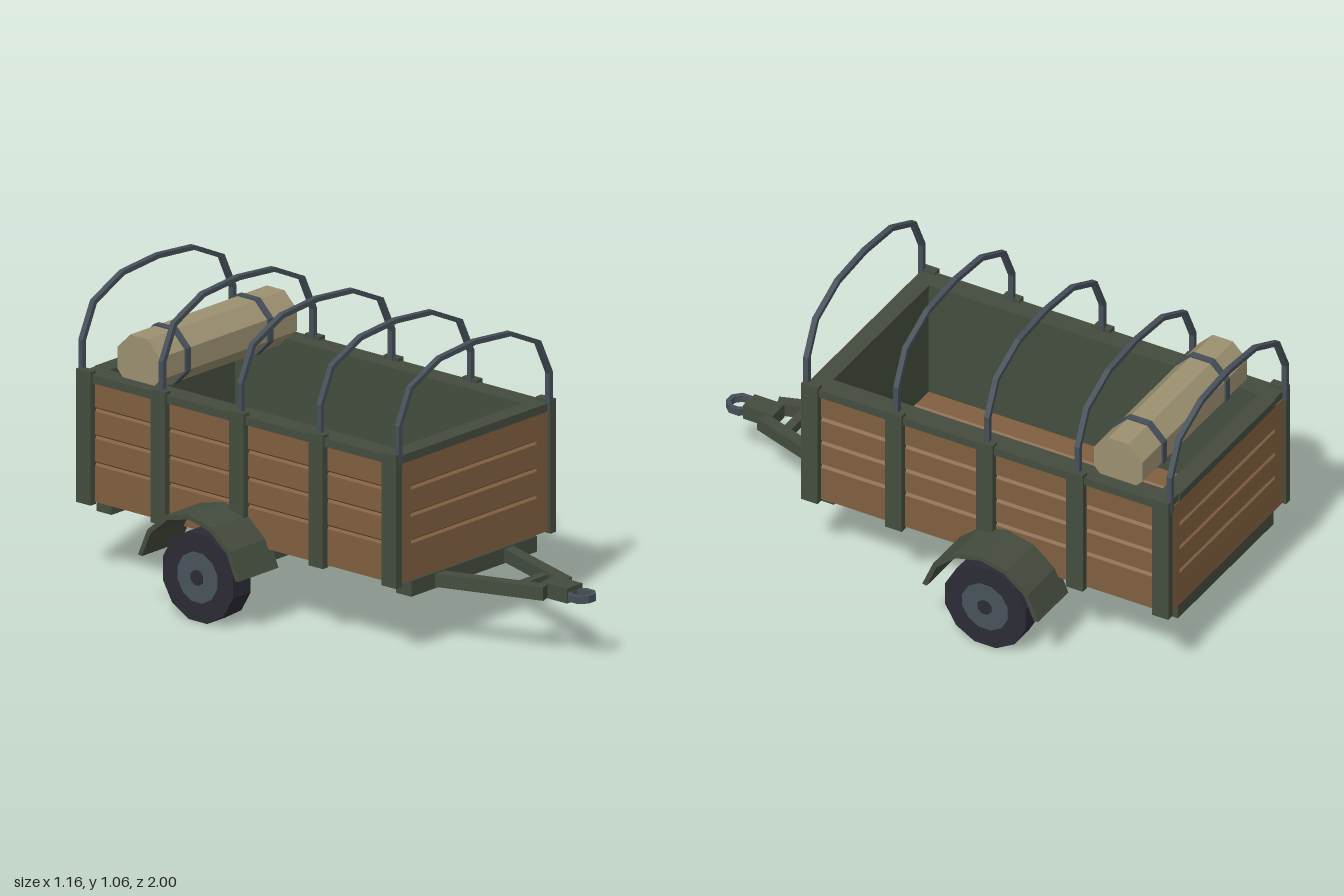
import * as THREE from 'three';

const mat = (name, color) => {
  const m = new THREE.MeshStandardMaterial({ color });
  m.name = name;
  return m;
};

export function createModel() {
  const green = mat('olive paint', 0x444c3e);
  const wood = mat('brown wood', 0x805f40);
  const canvas = mat('tan canvas', 0x9c9070);
  const steel = mat('blue grey steel', 0x454f58);
  const rubber = mat('dark rubber', 0x2c2b35);
  const hubGrey = mat('hub grey', 0x49535b);

  const model = new THREE.Group();
  model.name = 'cargoTrailer';

  const add = (name, geo, material, x = 0, y = 0, z = 0) => {
    const mesh = new THREE.Mesh(geo, material);
    mesh.name = name;
    mesh.position.set(x, y, z);
    model.add(mesh);
    return mesh;
  };
  // Box given by its minimum and maximum on each axis
  const box = (name, material, x0, x1, y0, y1, z0, z1) =>
    add(name, new THREE.BoxGeometry(x1 - x0, y1 - y0, z1 - z0), material,
      (x0 + x1) / 2, (y0 + y1) / 2, (z0 + z1) / 2);
  const faceted = (geo) => {
    const g = geo.toNonIndexed();
    g.computeVertexNormals();
    return g;
  };
  // Faceted cylinder lying along x, with flats at top and bottom
  const roll = (name, material, apothem, width, sides, x, y, z) => {
    const r = apothem / Math.cos(Math.PI / sides);
    const g = new THREE.CylinderGeometry(r, r, width, sides);
    g.rotateY(Math.PI / sides).rotateZ(Math.PI / 2);
    return add(name, faceted(g), material, x, y, z);
  };
  const polygon = (pts) => new THREE.Shape(pts.map(([x, y]) => new THREE.Vector2(x, y)));
  const slab = (shape, depth) =>
    new THREE.ExtrudeGeometry(shape, { depth, bevelEnabled: false }).translate(0, 0, -depth / 2);

  // Board facing +x with V grooves at the given heights
  const board = (v0, v1, thick, length, grooves) => {
    const pts = [[-thick, v0], [0, v0]];
    for (const g of grooves) pts.push([0, g - 0.008], [-0.01, g], [0, g + 0.008]);
    pts.push([0, v1], [-thick, v1]);
    return slab(polygon(pts), length);
  };

  const front = 0.455, back = -0.985, mid = (front + back) / 2;
  const grooves = [0.41, 0.508, 0.607];

  // Floor planks
  const floor = add('floor', board(-0.385, 0.385, 0.015, 1.43, [-0.24, -0.14, 0.14, 0.24]), wood, 0, 0.282, mid);
  floor.rotation.z = Math.PI / 2;

  // Side walls: grooved boards, inner lining and top rail
  for (const s of [-1, 1]) {
    const side = add('sideBoards', board(0.27, 0.705, 0.012, 1.44, grooves), wood, s * 0.396, 0, mid);
    side.rotation.y = s > 0 ? 0 : Math.PI;
    const lining = box('sideLining', green, 0.335, 0.384, 0.283, 0.705, back + 0.012, front - 0.012);
    lining.position.x *= s;
    const rail = box('sideTopRail', green, 0.33, 0.41, 0.705, 0.735, back, front + 0.005);
    rail.position.x *= s;
  }

  // End walls: grooves stop short of the corners
  for (const [s, z] of [[1, front + 0.003], [-1, back - 0.003]]) {
    const end = add('endBoards', board(0.27, 0.705, 0.013, 0.66, grooves), wood, 0, 0, z);
    end.rotation.y = -s * Math.PI / 2;
    for (const x of [-0.3585, 0.3585])
      add('endBoardMargin', new THREE.BoxGeometry(0.057, 0.435, 0.013), wood, x, 0.4875, z - s * 0.0065);
    add('endLining', new THREE.BoxGeometry(0.67, 0.422, 0.048), green, 0, 0.494, z - s * 0.037);
    add('endTopRail', new THREE.BoxGeometry(0.66, 0.03, 0.068), green, 0, 0.72, z - s * 0.032);
  }

  // Posts and canopy bows
  const outer = [[0.404, 0.7], [0.404, 0.848], [0.342, 0.976], [0.188, 1.047], [0, 1.063]];
  const inner = [[0, 1.046], [0.183, 1.031], [0.329, 0.964], [0.386, 0.844], [0.386, 0.7]];
  const flip = (pts) => pts.slice().reverse().filter(([x]) => x > 0).map(([x, y]) => [-x, y]);
  const bowGeo = slab(polygon([...outer, ...flip(outer), ...flip(inner), ...inner]), 0.02);
  const postZ = [0.436, 0.1, -0.262, -0.622, -0.963];
  const bowZ = [0.459, 0.1, -0.262, -0.622, -0.99];
  postZ.forEach((z, i) => {
    for (const s of [-1, 1])
      add('post', new THREE.BoxGeometry(0.03, 0.485, 0.066), green, s * 0.405, 0.5045, z);
    add('canopyBow', bowGeo, steel, 0, 0, bowZ[i]);
  });

  // Chassis frame
  for (const s of [-1, 1]) {
    box('chassisRail', green, s * 0.21 - 0.025, s * 0.21 + 0.025, 0.22, 0.267, -0.97, 0.45);
    box('axleHanger', green, s * 0.21 - 0.02, s * 0.21 + 0.02, 0.165, 0.225, -0.365, -0.305);
  }
  for (const z of [0.425, -0.262, -0.947])
    box('crossMember', green, -0.33, 0.33, 0.21, 0.267, z - 0.035, z + 0.035);
  box('axle', green, -0.45, 0.45, 0.135, 0.18, -0.358, -0.312);

  // Wheels and mudguards
  const fender = new THREE.Shape();
  const arc = (r, i) => {
    const a = THREE.MathUtils.degToRad(10 + (160 * i) / 6);
    return [Math.cos(a) * r, Math.sin(a) * r];
  };
  for (let i = 0; i <= 6; i++) i ? fender.lineTo(...arc(0.235, i)) : fender.moveTo(...arc(0.235, i));
  for (let i = 6; i >= 0; i--) fender.lineTo(...arc(0.217, i));
  const fenderGeo = slab(fender, 0.207).rotateY(Math.PI / 2);
  for (const s of [-1, 1]) {
    roll('tyre', rubber, 0.16, 0.094, 12, s * 0.492, 0.16, -0.335);
    roll('wheelDisc', hubGrey, 0.09, 0.1, 12, s * 0.492, 0.16, -0.335);
    roll('hubCap', rubber, 0.027, 0.108, 8, s * 0.492, 0.16, -0.335);
    add('mudguard', fenderGeo, green, s * 0.4785, 0.163, -0.34);
  }

  // A-frame drawbar, coupler and towing ring
  for (const s of [-1, 1]) {
    const dx = -0.145, dz = 0.43;
    const beam = add('drawbarBeam', new THREE.BoxGeometry(0.045, 0.048, Math.hypot(dx, dz)), green,
      s * 0.1275, 0.239, 0.62);
    beam.rotation.y = s * Math.atan2(dx, dz);
  }
  box('drawbarBrace', green, -0.075, 0.075, 0.222, 0.256, 0.712, 0.745);
  box('coupler', green, -0.04, 0.04, 0.213, 0.268, 0.8, 0.92);
  const ring = new THREE.Shape(), hole = new THREE.Path();
  for (let i = 0; i < 8; i++) {
    const a = ((i + 0.5) * Math.PI) / 4, c = Math.cos(a), n = Math.sin(a);
    i ? ring.lineTo(c * 0.052, n * 0.052) : ring.moveTo(c * 0.052, n * 0.052);
    i ? hole.lineTo(c * 0.034, n * 0.034) : hole.moveTo(c * 0.034, n * 0.034);
  }
  ring.holes.push(hole);
  add('towingRing', slab(ring, 0.026).rotateX(Math.PI / 2), steel, 0, 0.238, 0.952);

  // Rolled canvas held by two straps
  roll('canvasRoll', canvas, 0.0965, 0.72, 8, 0, 0.8, -0.762);
  for (const x of [-0.217, 0.217]) roll('canvasStrap', steel, 0.103, 0.026, 8, x, 0.8, -0.762);

  return model;
}
